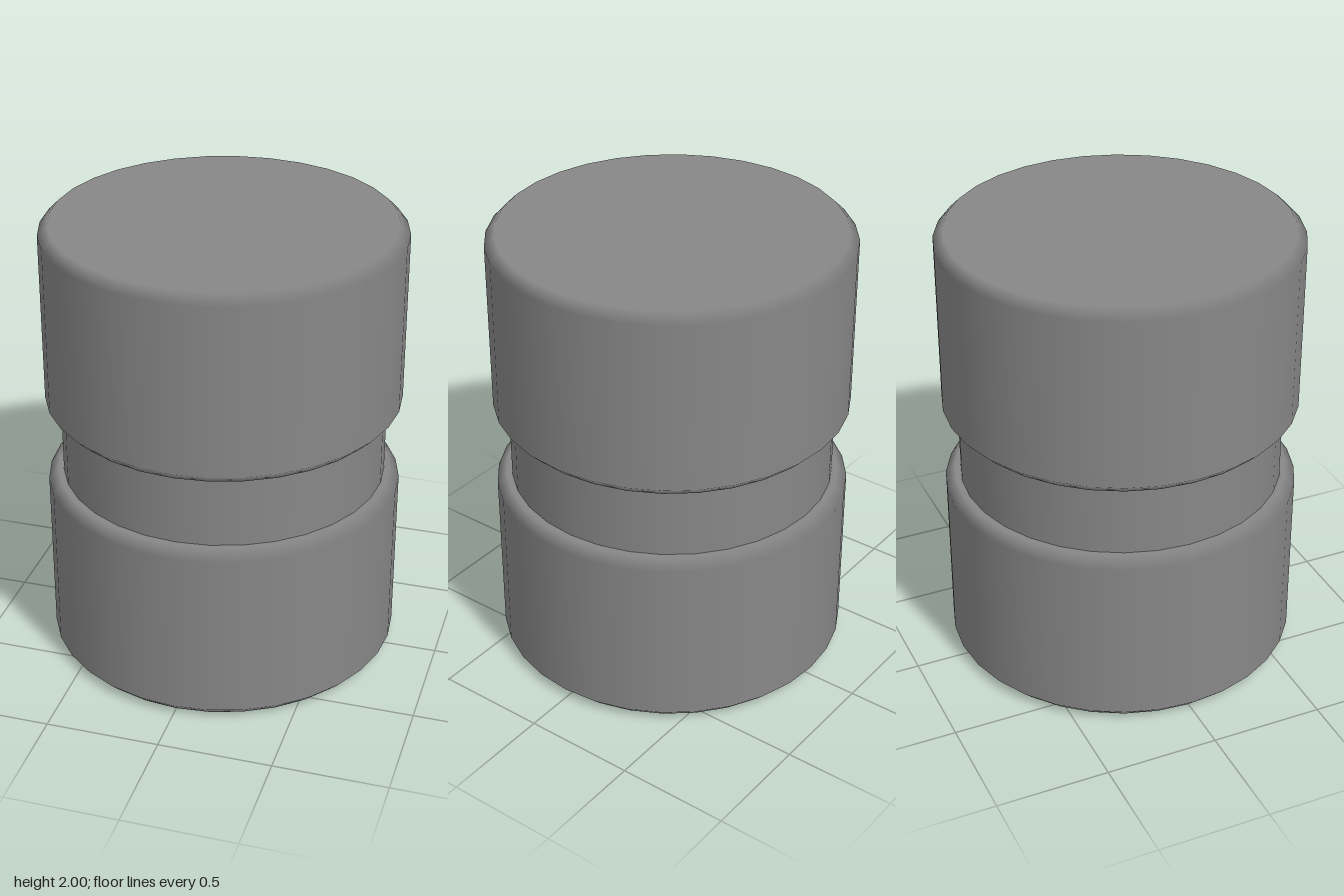
import * as THREE from 'three';

const SIDES = 32;
const material = new THREE.MeshStandardMaterial({ color: 0x878787 });

// Chamfered drum: flat end caps, with shading that rolls smoothly over each chamfer
function drum(name, radius, height, bevel, y) {
  const profile = [
    [0, 0], [radius - bevel, 0], [radius, bevel],
    [radius, height - bevel], [radius - bevel, height], [0, height],
  ].map(([r, h]) => new THREE.Vector2(r, h));
  const geometry = new THREE.LatheGeometry(profile, SIDES);
  const pos = geometry.attributes.position;
  const normal = new THREE.Vector3();
  for (let i = 0; i < pos.count; i++) {
    const h = pos.getY(i);
    if (h < 1e-4) normal.set(0, -1, 0);
    else if (h > height - 1e-4) normal.set(0, 1, 0);
    else normal.set(pos.getX(i), 0, pos.getZ(i)).normalize();
    geometry.attributes.normal.setXYZ(i, normal.x, normal.y, normal.z);
  }
  const mesh = new THREE.Mesh(geometry, material);
  mesh.name = name;
  mesh.position.y = y;
  return mesh;
}

export function createModel() {
  const group = new THREE.Group();
  group.name = 'groovedCylinder';

  // Two matching drums
  group.add(drum('lowerDrum', 0.78, 0.84, 0.043, 0));
  group.add(drum('upperDrum', 0.78, 0.84, 0.043, 1.16));

  // Narrower neck, seated slightly into both drums
  const neck = new THREE.Mesh(new THREE.CylinderGeometry(0.713, 0.713, 0.36, SIDES, 1, true), material);
  neck.name = 'neck';
  neck.position.y = 1;
  group.add(neck);

  return group;
}
